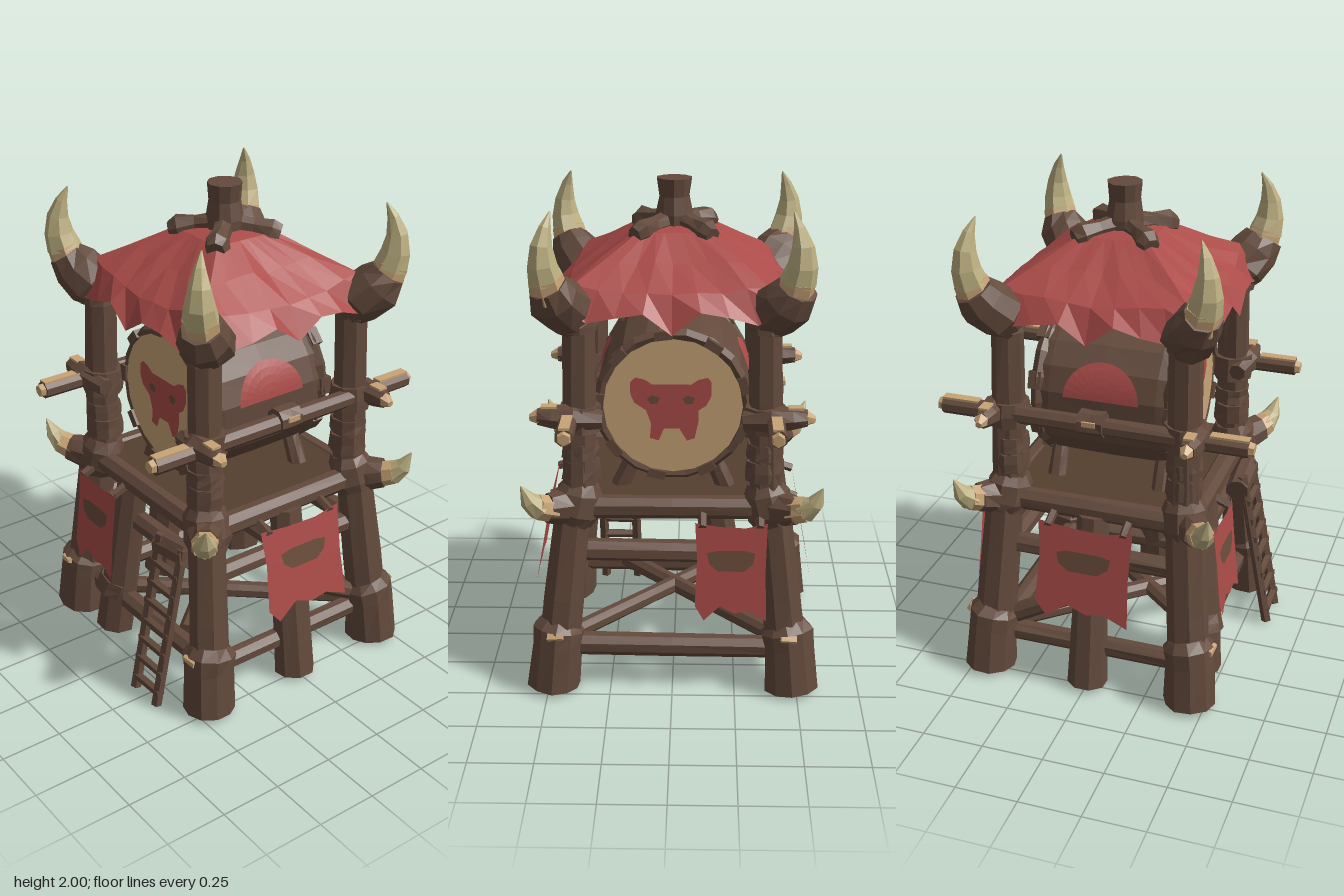
import * as THREE from 'three';

const mat = (name, color, side = THREE.FrontSide) => {
  const m = new THREE.MeshStandardMaterial({ color, side, flatShading: true });
  m.name = name;
  return m;
};
const V = (x, y, z) => new THREE.Vector3(x, y, z);

export function createModel() {
  const root = new THREE.Group();
  root.name = 'drumTower';
  const wood = mat('wood', 0x634a3c);
  const darkWood = mat('darkWood', 0x55402f);
  const cloth = mat('redCloth', 0xab4c49, THREE.DoubleSide);
  const hide = mat('tanHide', 0xc8a476);
  const horn = mat('horn', 0xbdb081);
  const paint = mat('brownPaint', 0x6a4d3c, THREE.DoubleSide);

  let seed = 7;
  const rnd = () => (seed = (seed * 16807) % 2147483647) / 2147483647;

  const add = (name, geo, material, parent = root) => {
    const m = new THREE.Mesh(geo, material);
    m.name = name;
    parent.add(m);
    return m;
  };

  // Capped, faceted tube through points with one radius per point
  const tube = (pts, radii, sides = 7, rough = 0.06) => {
    const pos = [], idx = [], n = pts.length;
    const whole = pts[n - 1].clone().sub(pts[0]).normalize();
    const ref = Math.abs(whole.x) > 0.7 ? V(0, 0, 1) : V(1, 0, 0);
    pts.forEach((p, i) => {
      const t = pts[Math.min(i + 1, n - 1)].clone().sub(pts[Math.max(i - 1, 0)]).normalize();
      const v = t.clone().cross(ref).normalize(), u = v.clone().cross(t);
      for (let j = 0; j < sides; j++) {
        const a = ((j + 0.5) / sides) * Math.PI * 2, r = radii[i] * (1 + (rnd() - 0.5) * 2 * rough);
        const q = p.clone().addScaledVector(u, Math.cos(a) * r).addScaledVector(v, Math.sin(a) * r);
        pos.push(q.x, q.y, q.z);
      }
    });
    const c = n * sides;
    pos.push(...pts[0].toArray(), ...pts[n - 1].toArray());
    for (let j = 0; j < sides; j++) {
      const k = (j + 1) % sides, e = (n - 1) * sides;
      for (let i = 0; i < n - 1; i++) {
        const a = i * sides + j, b = i * sides + k;
        idx.push(a, b, b + sides, a, b + sides, a + sides);
      }
      idx.push(c, k, j, c + 1, e + j, e + k);
    }
    const g = new THREE.BufferGeometry();
    g.setAttribute('position', new THREE.Float32BufferAttribute(pos, 3));
    g.setIndex(idx);
    g.computeVertexNormals();
    return g;
  };
  const log = (name, a, b, r0, r1 = r0, material = wood, sides = 8) =>
    add(name, tube([a, a.clone().lerp(b, 0.5), b], [r0, (r0 + r1) / 2, r1], sides), material);
  const polygon = (pts) => new THREE.Shape(pts.map(([x, y]) => new THREE.Vector2(x, y)));
  const chip = (name, x, y, z, w, d) =>
    add(name, new THREE.BoxGeometry(w, 0.009, d), hide).position.set(x, y, z);

  // Corner legs, posts, bindings and horns
  for (const sx of [-1, 1]) for (const sz of [-1, 1]) {
    const P = (x, y, z) => V(x * sx, y, z * sz);
    log('cornerLeg', P(0.475, 0.02, 0.43), P(0.39, 0.78, 0.375), 0.088, 0.075);
    add('legSleeve', tube([P(0.48, 0.015, 0.435), P(0.465, 0.2, 0.425), P(0.458, 0.26, 0.418), P(0.45, 0.29, 0.41)],
      [0.107, 0.102, 0.106, 0.08], 10), wood);
    add('legChip', tube([P(0.49, 0.262, 0.508), P(0.43, 0.268, 0.52)], [0.02, 0.012], 5), hide);
    add('deckBinding', tube([P(0.4, 0.71, 0.38), P(0.385, 0.75, 0.375), P(0.365, 0.83, 0.365), P(0.36, 0.87, 0.36)],
      [0.078, 0.095, 0.09, 0.07], 9), wood);
    log('post', P(0.365, 0.8, 0.365), P(0.35, 1.62, 0.355), 0.068, 0.064);
    for (const [y, r, h] of [[0.93, 0.076, 0.08], [1.01, 0.074, 0.06], [1.14, 0.085, 0.1], [1.51, 0.076, 0.05]])
      log('postBinding', P(0.357, y - h / 2, 0.36), P(0.357, y + h / 2, 0.36), r, r * 0.95, wood, 9);

    // upper horn in its leather socket
    add('hornSocket', tube([P(0.345, 1.5, 0.345), P(0.385, 1.56, 0.37), P(0.435, 1.62, 0.42), P(0.46, 1.675, 0.445)],
      [0.068, 0.105, 0.1, 0.075], 9, 0.1), wood);
    add('hornBase', tube([P(0.445, 1.63, 0.43), P(0.464, 1.71, 0.452)], [0.074, 0.067], 7, 0.03), hide);
    add('upperHorn', tube([P(0.46, 1.695, 0.448), P(0.474, 1.76, 0.462), P(0.474, 1.83, 0.462), P(0.46, 1.895, 0.45), P(0.442, 1.95, 0.43)],
      [0.069, 0.058, 0.042, 0.023, 0.003], 7, 0.03), horn);

    // lower horn
    add('lowerSocket', tube([P(0.35, 0.79, 0.35), P(0.42, 0.78, 0.41), P(0.485, 0.795, 0.455)], [0.06, 0.07, 0.058], 8, 0.08), wood);
    add('lowerHornBase', tube([P(0.46, 0.787, 0.44), P(0.52, 0.81, 0.48)], [0.056, 0.05], 7, 0.03), hide);
    add('lowerHorn', tube([P(0.51, 0.804, 0.474), P(0.55, 0.845, 0.498), P(0.575, 0.91, 0.515)],
      [0.051, 0.035, 0.003], 7, 0.03), horn);

    // tapered stub across each post, with bare patches on it and on the rail end
    add('crossStub', tube([P(0.27, 1.14, 0.4), P(0.38, 1.15, 0.41), P(0.46, 1.155, 0.41), P(0.515, 1.155, 0.41)],
      [0.035, 0.055, 0.045, 0.032], 7), wood);
    add('crossStubTip', tube([P(0.51, 1.155, 0.41), P(0.545, 1.15, 0.41)], [0.033, 0.014], 6), hide);
    chip('stubPatch', 0.47 * sx, 1.197, 0.41 * sz, 0.06, 0.04);
    chip('railPatch', 0.395 * sx, 1.179, 0.545 * sz, 0.04, 0.15);
    add('railTip', tube([P(0.395, 1.146, 0.61), P(0.395, 1.145, 0.64)], [0.031, 0.024], 6), hide);
  }

  // Side rails, side legs and braces
  for (const s of [-1, 1]) {
    log('sideRail', V(0.395 * s, 1.145, -0.62), V(0.395 * s, 1.145, 0.62), 0.036);
    log('railKnot', V(0.395 * s, 1.155, -0.05), V(0.395 * s, 1.155, 0.05), 0.05);
    add('railChip', new THREE.BoxGeometry(0.009, 0.02, 0.055), hide).position.set(0.446 * s, 1.17, 0);
    log('sideLeg', V(0.49 * s, 0.015, 0), V(0.4 * s, 0.76, 0), 0.082, 0.065);
    for (const [y, o] of [[0.17, 0.44], [0.57, 0.4]]) {
      log('endBrace', V(-o, y, o * 0.9 * s), V(o, y + 0.01, o * 0.9 * s), 0.045);
      log('sideBrace', V(o * s, y, -o * 0.9), V(o * s, y, o * 0.9), 0.042);
    }
    log('diagonalBrace', V(0.41 * s, 0.45, 0.05), V(0.43 * s, 0.23, -0.36), 0.04);
    log('floorBrace', V(0.42 * s, 0.2, -0.36), V(-0.22 * s, 0.2, 0.36), 0.036);
    log('deckEndBeam', V(-0.4, 0.775, 0.385 * s), V(0.4, 0.775, 0.385 * s), 0.048);
    log('deckSideBeam', V(0.39 * s, 0.775, -0.4), V(0.39 * s, 0.775, 0.4), 0.048);
  }
  add('deck', new THREE.BoxGeometry(0.76, 0.04, 0.74), darkWood).position.y = 0.79;

  // Extra leg beside the ladder opening
  log('frontLeg', V(-0.24, 0.015, 0.42), V(-0.14, 0.76, 0.37), 0.082, 0.065);
  log('frontLegBinding', V(-0.235, 0.2, 0.417), V(-0.215, 0.27, 0.408), 0.087, 0.08);

  // Drum lying along z on its cradle
  const drum = new THREE.Group();
  drum.name = 'drum';
  drum.position.y = 1.16;
  root.add(drum);
  const zs = [-0.28, -0.22, 0, 0.22, 0.28];
  add('drumBody', tube(zs.map((z) => V(0, 0, z)), [0.29, 0.302, 0.305, 0.302, 0.29], 18, 0.005), wood, drum);
  const mask = polygon([[-0.165, 0.1], [-0.145, 0.118], [-0.11, 0.11], [-0.08, 0.09], [0.07, 0.09], [0.1, 0.11], [0.135, 0.118], [0.15, 0.1],
    [0.15, 0.045], [0.13, 0.005], [0.1, -0.015], [0.1, -0.06], [0.085, -0.13], [0.055, -0.14], [0.025, -0.09], [-0.035, -0.09],
    [-0.055, -0.14], [-0.09, -0.13], [-0.085, -0.07], [-0.105, -0.015], [-0.15, 0.015], [-0.165, 0.05]]);
  const eye = polygon([[-0.025, 0.008], [-0.005, 0.022], [0.024, 0.012], [0.015, -0.012], [-0.012, -0.014]]);
  for (const side of [0, 1]) {
    const end = new THREE.Group();
    end.name = 'drumEnd';
    end.rotation.y = side * Math.PI;
    drum.add(end);
    add('drumRim', new THREE.TorusGeometry(0.283, 0.028, 5, 18), wood, end).position.z = 0.27;
    add('drumSkin', new THREE.CircleGeometry(0.272, 20), hide, end).position.z = 0.294;
    add('skinMask', new THREE.ShapeGeometry(mask), cloth, end).position.z = 0.299;
    for (const x of [-0.075, 0.062])
      add('maskEye', new THREE.ShapeGeometry(eye), paint, end).position.set(x, 0.025, 0.303);
    for (let i = 0; i < 9; i++) {
      const a = (i / 9) * Math.PI * 2 + 0.3;
      const peg = add('rimPeg', new THREE.BoxGeometry(0.035, 0.07, 0.05), wood, end);
      peg.position.set(Math.cos(a) * 0.288, Math.sin(a) * 0.288, 0.28);
      peg.rotation.z = a;
    }
    // painted half disc curved round the drum's flank
    const patch = new THREE.RingGeometry(0.001, 0.155, 14, 5, 0, Math.PI), p = patch.attributes.position;
    for (let i = 0; i < p.count; i++) {
      const a = (p.getY(i) + 0.035) / 0.31;
      p.setXYZ(i, Math.cos(a) * 0.311, Math.sin(a) * 0.311 + 0.01, -p.getX(i));
    }
    add('flankPaint', patch, cloth, end);
    for (const x of [-1, 1])
      log('cradleStrut', V(0.21 * x, 0.8, side ? 0.22 : -0.22), V(0.15 * x, 0.94, side ? 0.22 : -0.22), 0.04, 0.035);
  }

  // Cloth roof: square rings from the peak to a ragged hem
  const hem = [1.6, 1.53, 1.55, 1.58, 1.5, 1.58, 1.56, 1.53];
  const rings = [[0.03, 1.83, 1.83], [0.14, 1.81, 1.81], [0.27, 1.72, 1.73], [0.39, 1.63, 1.66], [0.45, 0, 0]];
  const rp = [], ri = [], N = hem.length * 4;
  rings.forEach(([w, mid, corner], k) => {
    for (let j = 0; j < N; j++) {
      const side = Math.floor(j / 8), f = (j % 8) / 4 - 1, edge = Math.abs(f);
      const bow = k > 2 ? 1 + 0.04 * (1 - edge) - 0.06 * edge ** 4 : 1;
      const x = w * f * (k > 2 ? 0.95 : 1), z = w * bow, a = (side * Math.PI) / 2;
      const y = (k === 4 ? hem[j % 8] : mid + (corner - mid) * edge) + (k > 1 ? (rnd() - 0.5) * 0.02 : 0);
      rp.push(x * Math.cos(a) + z * Math.sin(a), y, z * Math.cos(a) - x * Math.sin(a));
      if (k) {
        const n = (j + 1) % N, A = (k - 1) * N, B = k * N;
        ri.push(A + j, B + j, B + n, A + j, B + n, A + n);
      }
    }
  });
  const roof = new THREE.BufferGeometry();
  roof.setAttribute('position', new THREE.Float32BufferAttribute(rp, 3));
  roof.setIndex(ri);
  roof.computeVertexNormals();
  add('clothRoof', roof, cloth);

  // Finial, its clamp arms and the rafters beneath the cloth
  add('finial', tube([V(0, 1.72, 0), V(0, 1.86, 0), V(0, 1.93, 0), V(0, 2, 0)], [0.075, 0.075, 0.062, 0.07], 10, 0.04), wood);
  for (const sx of [-1, 1]) for (const sz of [-1, 1]) {
    add('clampArm', tube([V(0, 1.84, 0), V(0.08 * sx, 1.825, 0.08 * sz), V(0.125 * sx, 1.81, 0.13 * sz), V(0.15 * sx, 1.8, 0.155 * sz)],
      [0.045, 0.036, 0.05, 0.036], 7, 0.1), wood);
    log('rafter', V(0.35 * sx, 1.56, 0.35 * sz), V(0, 1.74, 0), 0.04, 0.04, darkWood);
  }

  // Hanging banners: shape, painted badge and ties
  const banner = (x, z, turn, w, lean) => {
    const g = new THREE.Group();
    g.name = 'banner';
    g.position.set(x, 0.75, z);
    g.rotation.set(-lean, turn, 0, 'YXZ');
    root.add(g);
    const s = w / 2;
    add('bannerCloth', new THREE.ShapeGeometry(polygon([[-s, 0], [-s * 0.3, -0.015], [s * 0.4, -0.02], [s, 0], [s * 0.96, -0.2], [s, -0.4],
      [s * 0.5, -0.36], [s * 0.1, -0.37], [-s * 0.3, -0.34], [-s * 0.75, -0.4], [-s, -0.34], [-s * 0.94, -0.15]])), cloth, g);
    add('bannerBadge', new THREE.ShapeGeometry(polygon([[-0.11, -0.12], [-0.06, -0.11], [0.06, -0.11], [0.11, -0.12],
      [0.1, -0.165], [0.06, -0.195], [-0.06, -0.195], [-0.1, -0.165]].map(([a, b]) => [a * (0.4 + w * 1.6), b]))), paint, g).position.z = 0.005;
    for (const e of [-1, 1])
      add('bannerTie', tube([V(s * 0.8 * e, -0.02, 0), V(s * 0.8 * e, 0.03, -0.09)], [0.018, 0.02], 5), wood, g);
  };
  banner(0.495, 0, Math.PI / 2, 0.39, 0.18);
  banner(-0.495, 0, -Math.PI / 2, 0.39, 0.18);
  banner(-0.23, 0.485, 0, 0.28, 0.1);
  banner(-0.23, -0.485, Math.PI, 0.28, 0.1);

  // Leaning ladder
  for (const x of [0.185, 0.335])
    log('ladderRail', V(x, 0.01, 0.595), V(x + 0.01, 0.7, 0.46), 0.022, 0.022, wood, 5);
  for (let i = 0; i < 7; i++) {
    const y = 0.07 + i * 0.085, z = 0.6 - y * 0.195;
    log('ladderRung', V(0.175, y + (rnd() - 0.5) * 0.015, z), V(0.355, y, z), 0.019, 0.019, wood, 5);
  }
  log('ladderHook', V(0.17, 0.64, 0.44), V(0.36, 0.67, 0.44), 0.05);
  return root;
}
